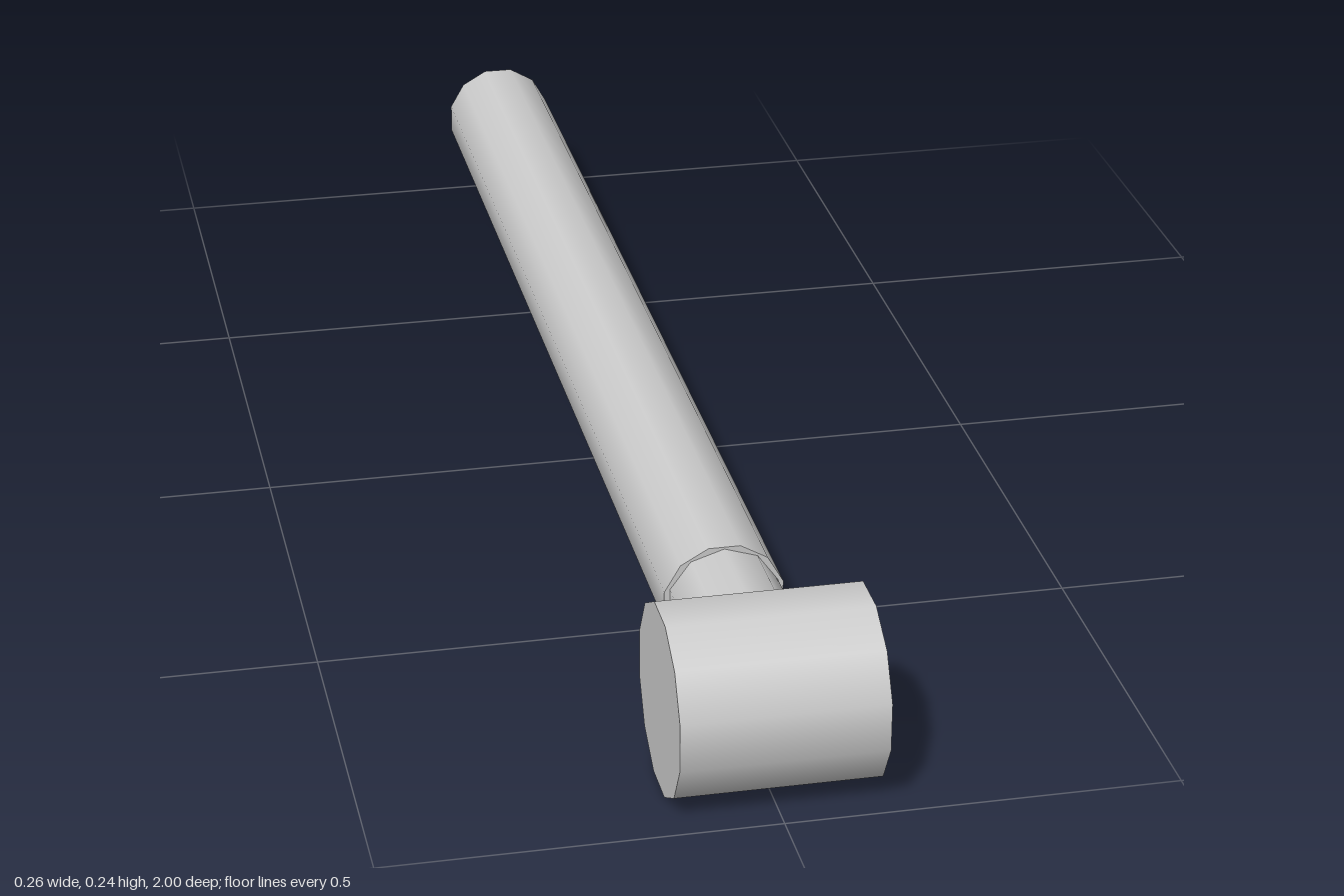
import * as THREE from 'three';

export function createModel() {
  const model = new THREE.Group();
  model.name = 'mallet';
  const grey = new THREE.MeshStandardMaterial({ color: 0xcccccc });
  grey.name = 'light grey';

  const centreY = 0.119;

  // Capped prism-like cylinder with smooth sides, built along y
  const rod = (radius, length, sides, turn) =>
    new THREE.CylinderGeometry(radius, radius, length, sides, 1, false, turn);

  const add = (name, geometry, y, z) => {
    const mesh = new THREE.Mesh(geometry, grey);
    mesh.name = name;
    mesh.position.set(0, y, z);
    model.add(mesh);
  };

  // Head lies across x, with a flat facet underneath
  add('head', rod(0.1232, 0.26, 12, Math.PI / 12).rotateZ(Math.PI / 2), centreY, 0.881);

  // Slim neck runs from inside the head into the handle, with an edge on top
  add('neck', rod(0.0735, 0.24, 10, 0).rotateX(Math.PI / 2), 0.123, 0.76);

  // Long handle reaches the back end
  add('handle', rod(0.0798, 1.66, 12, Math.PI / 12).rotateX(Math.PI / 2), 0.122, -0.17);

  return model;
}
